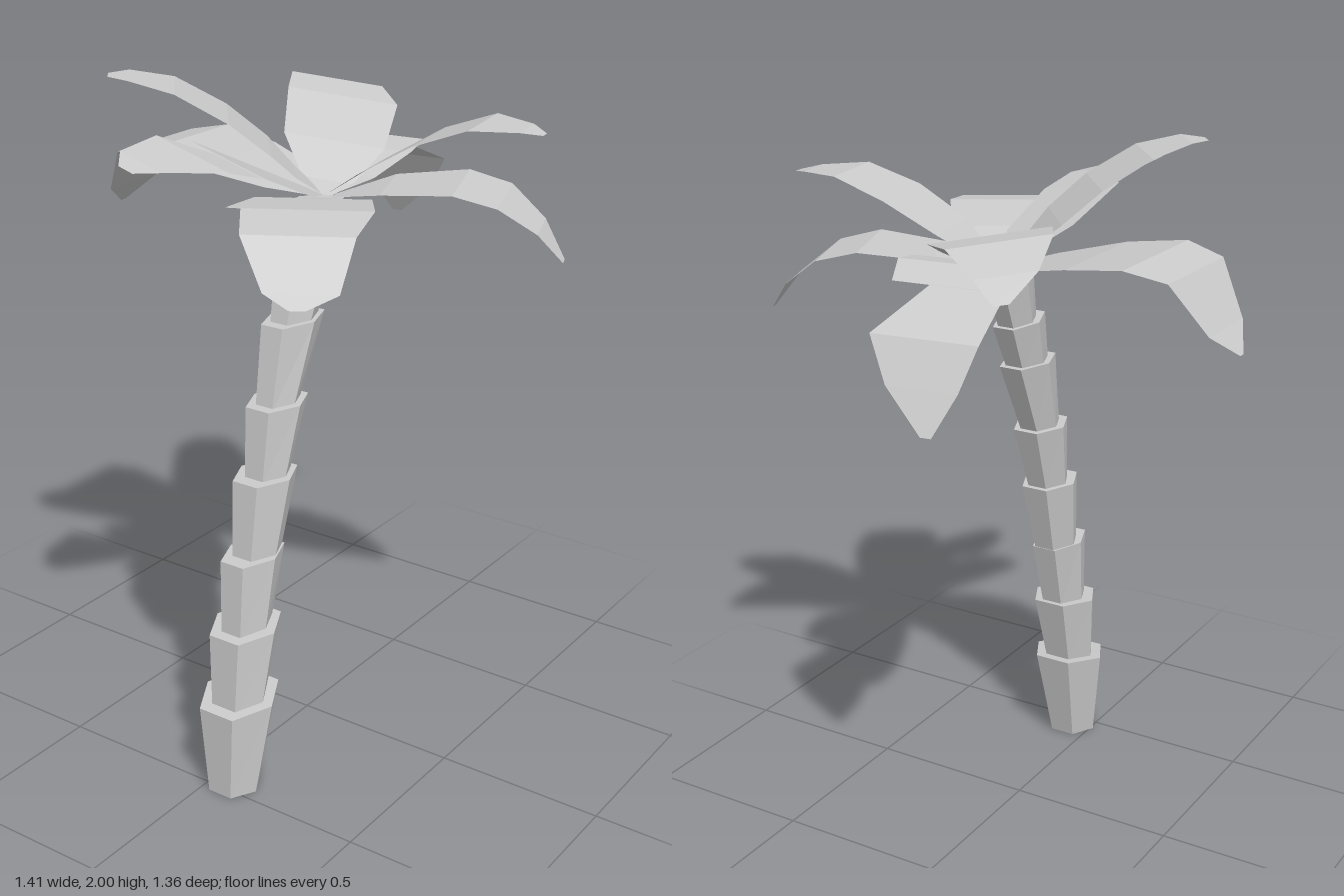
import * as THREE from 'three';

const bark = new THREE.MeshStandardMaterial({ color: 0xcccccc, flatShading: true });
const leaf = new THREE.MeshStandardMaterial({ color: 0xcccccc, flatShading: true, side: THREE.DoubleSide });

// Flared six-sided trunk ring; each end is [y, left x, right x, half depth, tilt]
function trunkRing(bottom, top) {
  const geo = new THREE.CylinderGeometry(1, 1, 1, 6);
  const pos = geo.attributes.position;
  for (let i = 0; i < pos.count; i++) {
    const [y, x0, x1, depth, tilt] = pos.getY(i) > 0 ? top : bottom;
    const u = pos.getX(i) / Math.sin(Math.PI / 3);
    pos.setXYZ(i, (x0 + x1) / 2 + u * (x1 - x0) / 2, y + u * tilt, 0.067 + pos.getZ(i) * depth);
  }
  geo.computeVertexNormals();
  const mesh = new THREE.Mesh(geo, bark);
  mesh.name = 'trunkRing';
  return mesh;
}

// Thin frond along a heading; rows are [distance, height, width to one side, width to the other]
function frond(name, x, z, degrees, roll, rows) {
  const a = THREE.MathUtils.degToRad(degrees);
  const c = Math.cos(a), s = Math.sin(a);
  const points = [], index = [];
  rows.forEach(([d, y, plus, minus], i) => {
    for (const w of [plus, -minus]) points.push(x + c * d - s * w, y + roll * w, z + s * d + c * w);
    if (i > 0) {
      const k = 2 * i;
      index.push(k - 2, k - 1, k, k - 1, k + 1, k);
    }
  });
  const geo = new THREE.BufferGeometry();
  geo.setAttribute('position', new THREE.Float32BufferAttribute(points, 3));
  geo.setIndex(index);
  geo.computeVertexNormals();
  const mesh = new THREE.Mesh(geo, leaf);
  mesh.name = name;
  return mesh;
}

export function createModel() {
  const model = new THREE.Group();
  model.name = 'palmTree';

  // Leaning trunk of stacked rings
  const trunk = new THREE.Group();
  trunk.name = 'trunk';
  const rings = [
    [[0, -0.53, -0.39, 0.077, 0], [0.285, -0.54, -0.32, 0.115, 0.013]],
    [[0.27, -0.505, -0.355, 0.08, 0.012], [0.5, -0.497, -0.295, 0.1, 0.008]],
    [[0.49, -0.465, -0.315, 0.065, 0.008], [0.71, -0.455, -0.26, 0.077, 0]],
    [[0.7, -0.41, -0.265, 0.063, 0], [0.93, -0.39, -0.2, 0.083, 0]],
    [[0.92, -0.35, -0.22, 0.06, 0], [1.13, -0.33, -0.145, 0.078, 0]],
    [[1.12, -0.3, -0.17, 0.055, 0], [1.35, -0.26, -0.06, 0.071, 0]],
    [[1.34, -0.23, -0.085, 0.055, 0], [1.485, -0.2, -0.02, 0.067, -0.006]],
    [[1.475, -0.165, -0.04, 0.05, -0.006], [1.655, -0.135, 0.04, 0.062, -0.008]],
  ];
  for (const [bottom, top] of rings) trunk.add(trunkRing(bottom, top));
  model.add(trunk);

  // Crown of drooping and rising fronds, three of them torn on one edge
  const crown = new THREE.Group();
  crown.name = 'crown';
  crown.add(
    frond('backFrond', 0, 0.07, -90, 0, [
      [0, 1.66, 0.03, 0.03], [0.12, 1.69, 0.12, 0.13], [0.3, 1.73, 0.165, 0.2], [0.48, 1.755, 0.18, 0.21],
      [0.6, 1.73, 0.155, 0.18], [0.695, 1.59, 0.1, 0.11], [0.745, 1.525, 0.01, 0.01]]),
    frond('raisedBackFrond', -0.02, 0.06, -129, 0, [
      [0, 1.67, 0.02, 0.02], [0.07, 1.73, 0.07, 0.08], [0.14, 1.8, 0.12, 0.115], [0.25, 1.89, 0.122, 0.128],
      [0.39, 1.97, 0.11, 0.123], [0.51, 2, 0.06, 0.088], [0.565, 2, 0.02, 0.03]]),
    frond('tornRightFrond', -0.03, 0.06, -172.5, 0.2, [
      [0, 1.67, 0.02, 0.02], [0.16, 1.74, 0.11, 0.126], [0.35, 1.83, 0.134, 0.135], [0.355, 1.83, 0.03, 0.135],
      [0.46, 1.86, 0.142, 0.12], [0.62, 1.865, 0.1, 0.05], [0.68, 1.86, 0.04, 0.01]]),
    frond('frontRightFrond', -0.04, 0.07, 150, 0, [
      [0, 1.66, 0.02, 0.02], [0.12, 1.69, 0.1, 0.11], [0.22, 1.72, 0.15, 0.156], [0.43, 1.75, 0.2, 0.175],
      [0.435, 1.75, 0.16, 0.175], [0.59, 1.73, 0.144, 0.14], [0.7, 1.62, 0.077, 0.109], [0.735, 1.59, 0.01, 0.03]]),
    frond('backLeftFrond', -0.03, 0.07, -30, -0.15, [
      [0, 1.67, 0.03, 0.03], [0.07, 1.69, 0.08, 0.06], [0.2, 1.77, 0.16, 0.123], [0.42, 1.85, 0.185, 0.133],
      [0.565, 1.865, 0.133, 0.136], [0.69, 1.81, 0.06, 0.1], [0.755, 1.755, 0.01, 0.03]]),
    frond('raisedFrontFrond', 0, 0.08, 80.4, 0, [
      [0, 1.67, 0.02, 0.03], [0.13, 1.76, 0.12, 0.1], [0.28, 1.85, 0.124, 0.127],
      [0.43, 1.905, 0.105, 0.12], [0.55, 1.9, 0.047, 0.066], [0.6, 1.89, 0.01, 0.02]]),
    frond('tornLeftFrond', -0.02, 0.06, -8, 0, [
      [0, 1.66, 0.02, 0.02], [0.13, 1.69, 0.1, 0.1], [0.26, 1.74, 0.152, 0.15], [0.36, 1.755, 0.15, 0.18],
      [0.455, 1.72, 0.122, 0.2], [0.458, 1.72, 0.013, 0.2], [0.63, 1.63, 0.1, 0.2],
      [0.69, 1.52, 0.03, 0.17], [0.743, 1.415, -0.09, 0.12]]),
    frond('droopingFrontFrond', 0, 0.09, 69.2, 0, [
      [0, 1.66, 0.02, 0.02], [0.15, 1.7, 0.11, 0.119], [0.35, 1.72, 0.14, 0.145],
      [0.47, 1.69, 0.13, 0.139], [0.57, 1.61, 0.068, 0.098], [0.635, 1.52, 0.01, 0.028]]),
  );
  model.add(crown);
  return model;
}
